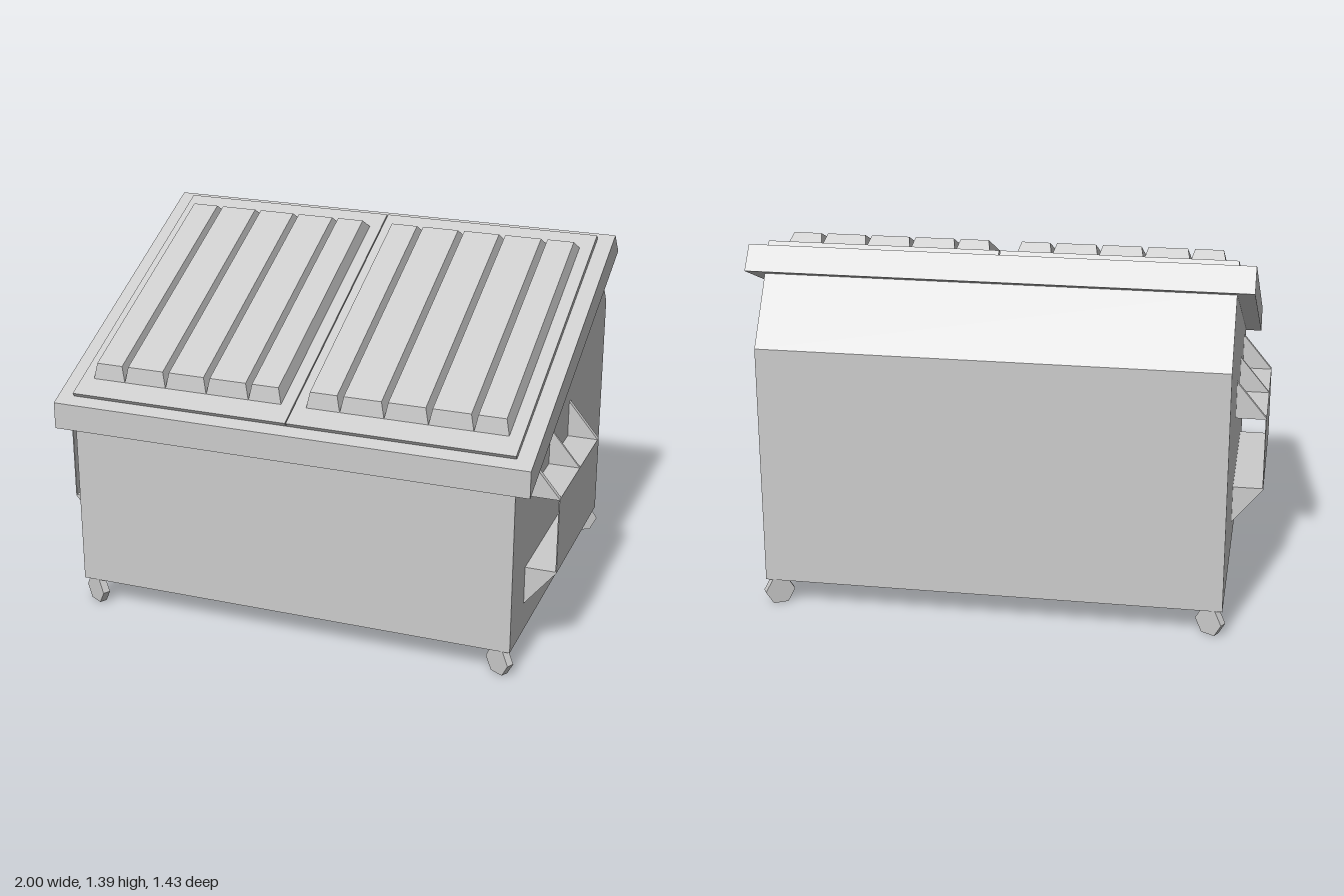
import * as THREE from 'three';

const material = new THREE.MeshStandardMaterial({ color: 0xcccccc, flatShading: true, side: THREE.DoubleSide });

function addMesh(parent, name, geometry) {
  const mesh = new THREE.Mesh(geometry, material);
  mesh.name = name;
  parent.add(mesh);
  return mesh;
}

// Side profile of [z, y] points, extruded along x between two positions
function sideProfile(points, x0, x1) {
  const shape = new THREE.Shape(points.map(([z, y]) => new THREE.Vector2(z, y)));
  const geometry = new THREE.ExtrudeGeometry(shape, { depth: x1 - x0, bevelEnabled: false });
  return geometry.rotateY(-Math.PI / 2).translate(x1, 0, 0);
}

// Box standing on y = 0 whose top face is inset
function taperedBox(w, h, l, insetX, insetZ) {
  const geometry = new THREE.BoxGeometry(w, h, l).translate(0, h / 2, 0);
  const p = geometry.attributes.position;
  for (let i = 0; i < p.count; i++) {
    if (p.getY(i) < h / 2) continue;
    p.setX(i, p.getX(i) - Math.sign(p.getX(i)) * insetX);
    p.setZ(i, p.getZ(i) - Math.sign(p.getZ(i)) * insetZ);
  }
  geometry.computeVertexNormals();
  return geometry;
}

// Split lid half with five raised panels
function makeLid(side) {
  const lid = new THREE.Group();
  lid.name = side > 0 ? 'leftLid' : 'rightLid';
  const xs = [0.002, 0.88].map(x => x * side).sort((a, b) => a - b);
  addMesh(lid, 'lidSlab', sideProfile([[0.665, 0.875], [0.68, 0.895], [-0.457, 1.39], [-0.47, 1.365]], xs[0], xs[1]));

  const edges = [0.05, 0.183, 0.356, 0.526, 0.698, 0.83];
  for (let i = 0; i < 5; i++) {
    const panel = addMesh(lid, 'raisedPanel', taperedBox(edges[i + 1] - edges[i], 0.055, 1.064, 0.013, 0.033));
    panel.position.set(side * (edges[i] + edges[i + 1]) / 2, 1.1425, 0.1075);
    panel.rotation.x = Math.atan(0.435);
  }
  return lid;
}

// Open-ended fork sleeve with triangular gussets above and below
function makeForkPocket(side) {
  const pocket = new THREE.Group();
  pocket.name = side > 0 ? 'leftForkPocket' : 'rightForkPocket';
  const z = 0.18, length = 0.62, t = 0.004;
  addMesh(pocket, 'outerPlate', new THREE.BoxGeometry(t, 0.3, length)).position.set(side * (1 - t / 2), 0.515, z);
  for (const y of [0.665 - t / 2, 0.365 + t / 2])
    addMesh(pocket, 'sleevePlate', new THREE.BoxGeometry(0.12, t, length)).position.set(side * 0.94, y, z);

  for (const [gz, thickness] of [[0.48, 0.02], [0.18, 0.01], [-0.12, 0.02]]) {
    for (const [y, tip] of [[0.665, 0.81], [0.365, 0.218]]) {
      const shape = new THREE.Shape([[0.88, y], [1, y], [0.88, tip]].map(([x, h]) => new THREE.Vector2(side * x, h)));
      const geometry = new THREE.ExtrudeGeometry(shape, { depth: thickness, bevelEnabled: false });
      addMesh(pocket, 'gusset', geometry).position.z = gz - thickness / 2;
    }
  }
  return pocket;
}

export function createModel() {
  const model = new THREE.Group();
  model.name = 'wasteContainer';

  // Container with sloping top and chamfered back
  addMesh(model, 'body', sideProfile([[0.67, 0.1], [0.67, 0.8], [-0.52, 1.29], [-0.7, 1.04], [-0.7, 0.1]], -0.88, 0.88));
  // Overhanging rim
  addMesh(model, 'rim', sideProfile([[0.715, 0.755], [0.715, 0.86], [-0.5, 1.385], [-0.57, 1.3]], -0.945, 0.945));

  for (const side of [-1, 1]) model.add(makeLid(side), makeForkPocket(side));

  // Six-sided wheels, each swivelled
  const wheel = new THREE.CylinderGeometry(0.058, 0.058, 0.03, 6).rotateY(Math.PI / 6).rotateX(Math.PI / 2);
  for (const [x, z, yaw] of [[-0.835, 0.643, -1], [0.835, 0.643, -1], [-0.835, -0.675, -1], [0.835, -0.675, 1]]) {
    const caster = addMesh(model, 'casterWheel', wheel);
    caster.position.set(x, 0.0502, z);
    caster.rotation.y = yaw * Math.PI / 6;
  }
  return model;
}
